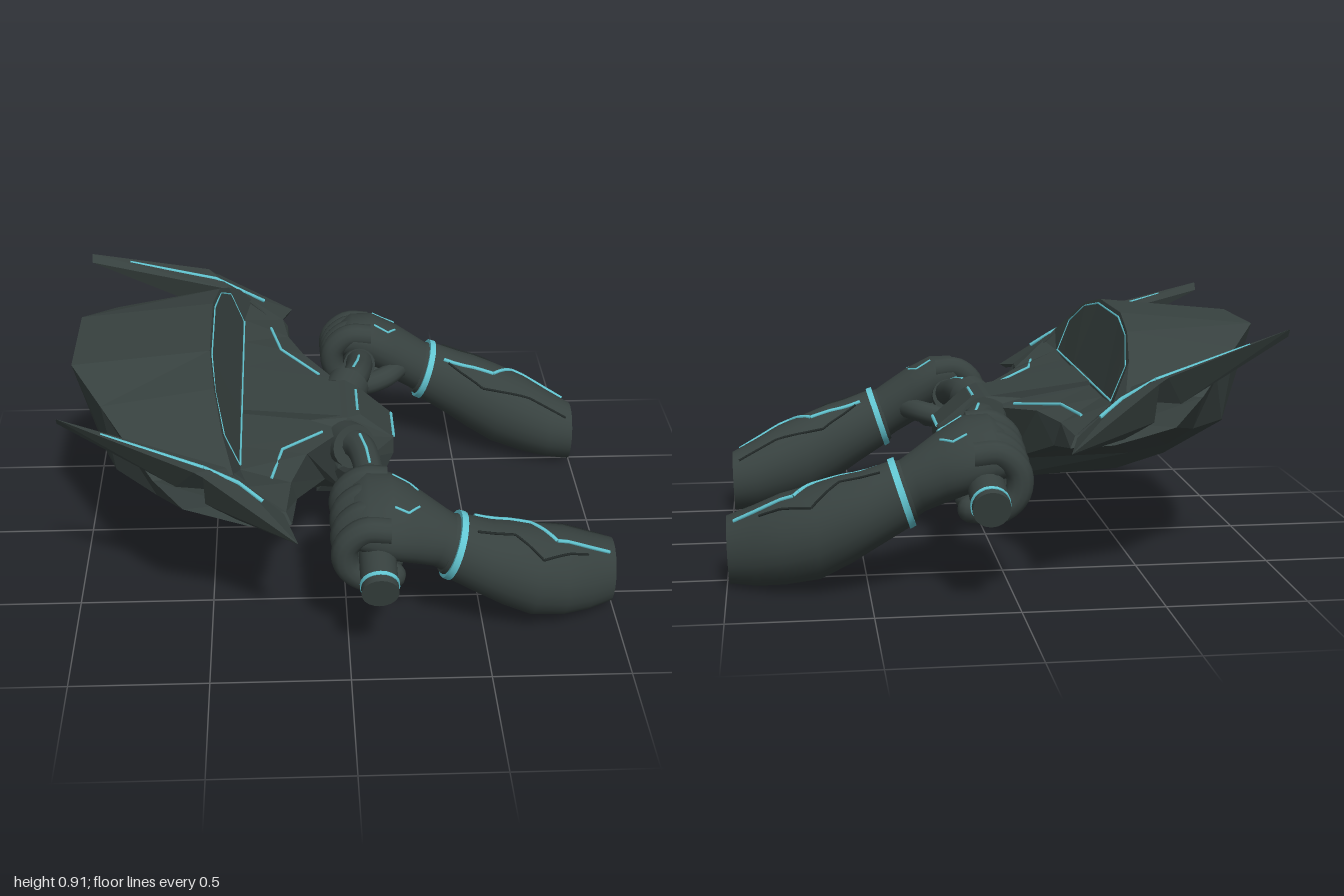
import * as THREE from 'three';
import { mergeGeometries } from 'three/addons/utils/BufferGeometryUtils.js';
import { ConvexGeometry } from 'three/addons/geometries/ConvexGeometry.js';

const V = (p) => new THREE.Vector3(...p);
const mirrorZ = (p) => [p[0], p[1], -p[2]];

// Skin a list of closed rings and cap both ends
function skin(rings, flat) {
  const pos = [], idx = [], n = rings[0].length;
  rings.forEach((r) => r.forEach((p) => pos.push(...p)));
  for (let i = 0; i < rings.length - 1; i++) {
    for (let j = 0; j < n; j++) {
      const k = (j + 1) % n, a = i * n + j, b = i * n + k;
      idx.push(a, a + n, b, b, a + n, b + n);
    }
  }
  [rings[0], rings[rings.length - 1]].forEach((ring, end) => {
    const base = pos.length / 3;
    const c = [0, 1, 2].map((k) => ring.reduce((s, p) => s + p[k], 0) / n);
    pos.push(...c);
    ring.forEach((p) => pos.push(...p));
    for (let j = 0; j < n; j++) {
      const a = base + 1 + j, b = base + 1 + ((j + 1) % n);
      idx.push(base, end ? b : a, end ? a : b);
    }
  });
  let g = new THREE.BufferGeometry();
  g.setAttribute('position', new THREE.Float32BufferAttribute(pos, 3));
  g.setIndex(idx);
  if (flat) g = g.toNonIndexed();
  g.computeVertexNormals();
  return g;
}

// Limb section: [x, y, z, radiusY, radiusZ, tilt, roll]
function ellipseRing([x, y, z, ry, rz, tilt, roll], n = 24) {
  return Array.from({ length: n }, (_, j) => {
    const a = (j / n) * Math.PI * 2;
    const dy = Math.cos(a) * ry, dz = -Math.sin(a) * rz;
    return [x + tilt * dy, y + dy - roll * dz, z + dz];
  });
}
const limb = (sections) => skin(sections.map((s) => ellipseRing(s)), false);

// Point on the upper surface of a limb above (x, z)
function onTop(sections, x, z) {
  let y = 0, dy = 0;
  for (let it = 0; it < 6; it++) {
    const px = x - dy;
    let i = 0;
    while (i < sections.length - 2 && sections[i + 1][0] < px) i++;
    const a = sections[i], b = sections[i + 1];
    const t = THREE.MathUtils.clamp((px - a[0]) / (b[0] - a[0]), 0, 1);
    const s = a.map((v, k) => v + (b[k] - v) * t);
    const u = THREE.MathUtils.clamp((z - s[2]) / s[4], -0.98, 0.98);
    const h = s[3] * Math.sqrt(1 - u * u);
    dy = s[5] * h;
    y = s[1] + h - s[6] * (z - s[2]);
  }
  return [x, y, z];
}

function rod(a, b, r, sides = 20) {
  const A = V(a), B = V(b), d = B.clone().sub(A);
  const g = new THREE.CylinderGeometry(r, r, d.length(), sides);
  g.applyQuaternion(new THREE.Quaternion().setFromUnitVectors(new THREE.Vector3(0, 1, 0), d.normalize()));
  const m = A.add(B).multiplyScalar(0.5);
  return g.translate(m.x, m.y, m.z);
}
const line = (pts, r = 0.006) => mergeGeometries(pts.slice(1).map((p, i) => rod(pts[i], p, r, 6)));
const tube = (pts, r) => new THREE.TubeGeometry(new THREE.CatmullRomCurve3(pts.map(V)), 24, r, 12);
const hull = (pts) => new ConvexGeometry(pts.map(V));
const both = (pts) => [...pts, ...pts.map(mirrorZ)];

// Bake a mirrored copy with corrected corner order
function mirrored(geo) {
  const g = geo.index ? geo.toNonIndexed() : geo.clone();
  for (const name of ['position', 'normal']) {
    const at = g.attributes[name];
    for (let i = 0; i < at.count; i += 3) {
      const t = [0, 1, 2].map((k) => [at.getX(i + k), at.getY(i + k), -at.getZ(i + k)]);
      [0, 2, 1].forEach((s, k) => at.setXYZ(i + k, ...t[s]));
    }
  }
  return g;
}

export function createModel() {
  const model = new THREE.Group();
  const shell = new THREE.MeshStandardMaterial({ color: 0x37413f });
  shell.name = 'dark shell';
  const glow = new THREE.MeshStandardMaterial({ color: 0x62c6d2 });
  glow.name = 'cyan light';
  const seam = new THREE.MeshStandardMaterial({ color: 0x222928 });
  seam.name = 'dark seam';

  const add = (name, geo, mat = shell) => {
    const m = new THREE.Mesh(geo, mat);
    m.name = name;
    model.add(m);
  };
  const pair = (name, geo, mat = shell) => {
    add(name + 'Left', geo, mat);
    add(name + 'Right', mirrored(geo), mat);
  };

  // Fairing rings: nose top, hood rear, screen base, deck rear, belly rear, belly, belly front, nose bottom
  const half = [
    [[-1, .86, .2], [-.49, .91, .2], [-.38, .63, .2], [-.02, .56, .22], [0, .26, .13], [-.5, .29, .13], [-.68, .35, .15], [-.9, .48, .18]],
    [[-.88, .8, .41], [-.47, .87, .42], [-.38, .63, .42], [-.14, .58, .4], [-.07, .36, .22], [-.5, .4, .35], [-.65, .42, .32], [-.84, .53, .4]],
    [[-.76, .73, .61], [-.44, .79, .6], [-.38, .64, .6], [-.2, .57, .58], [-.18, .48, .55], [-.4, .5, .6], [-.55, .51, .58], [-.68, .54, .6]],
    [[-.68, .68, .73], [-.4, .71, .75], [-.35, .66, .75], [-.22, .56, .76], [-.2, .52, .78], [-.35, .53, .8], [-.45, .55, .78], [-.58, .58, .76]],
  ];
  add('fairing', skin([...half.map((r) => r.map(mirrorZ)).reverse(), ...half], true));

  // Swept side blades
  pair('bladeFront', hull([[-1, .91, .69], [-1, .88, .67], [-.53, .77, .83], [-.42, .69, .82],
    [-.42, .72, .72], [-.6, .66, .74]]));
  pair('bladeRear', hull([[-.5, .75, .83], [-.42, .72, .72], [-.18, .53, .92], [-.2, .52, .88],
    [-.24, .56, .72], [-.4, .55, .78], [-.5, .6, .76]]));

  // Steering column and console
  add('columnBridge', hull(both([[-.4, .65, .18], [-.4, .5, .18], [.02, .585, .13], [.02, .4, .13]])));
  add('console', hull(both([[-.12, .58, .15], [.02, .59, .15], [.07, .58, .11], [.2, .47, .1], [.2, .4, .1],
    [.13, .24, .12], [-.1, .25, .13], [-.02, .4, .21], [-.02, .54, .2], [.1, .42, .17]])));

  // Handlebar
  pair('handlebar', tube([[0, .51, .18], [.06, .53, .27], [.09, .5, .43], [.095, .46, .6]], 0.055));
  pair('barCollar', rod([.01, .5, .18], [.04, .52, .25], 0.085));
  pair('grip', rod([.095, .475, .5], [.1, .36, .98], 0.066));
  pair('gripLight', rod([.1, .37, .935], [.1, .366, .95], 0.07), glow);

  // Hand and forearm
  const hand = [
    [.02, .5, .69, .07, .15, 0, .22],
    [.07, .51, .69, .1, .17, 0, .22],
    [.15, .49, .69, .12, .172, .05, .2],
    [.24, .445, .685, .115, .145, .15, .12],
    [.33, .39, .68, .1, .11, .3, 0],
    [.38, .355, .68, .1, .105, .3, 0],
  ];
  const forearm = [
    [.355, .365, .68, .105, .108, .3, 0],
    [.4, .345, .68, .118, .118, .3, 0],
    [.5, .295, .67, .135, .138, .2, 0],
    [.58, .258, .655, .155, .155, .12, 0],
    [.68, .212, .633, .168, .17, .06, 0],
    [.8, .178, .595, .161, .175, .04, 0],
    [.9, .147, .558, .143, .15, .03, 0],
    [.995, .126, .523, .122, .115, .03, 0],
  ];
  pair('hand', limb(hand));
  pair('forearm', limb(forearm));
  pair('wristBand', limb([[.37, .36, .68, .121, .124, .32, 0], [.392, .35, .68, .123, .126, .32, 0]]), glow);

  // Fingers curl round the grip
  for (let f = 0; f < 4; f++) {
    const z = 0.57 + f * 0.083, cy = 0.475 - (z - 0.57) * 0.24;
    const curl = [];
    for (let a = 65; a <= 300; a += 47) {
      const t = (a * Math.PI) / 180;
      curl.push([0.095 + Math.cos(t) * 0.115, cy + Math.sin(t) * 0.105, z]);
    }
    pair('finger' + (f + 1), tube(curl, 0.048));
    const tip = new THREE.SphereGeometry(0.048, 12, 8);
    pair('fingertip' + (f + 1), tip.translate(...curl[curl.length - 1]));
  }
  pair('thumb', tube([[.27, .41, .6], [.2, .4, .52], [.11, .38, .5], [.04, .38, .53]], 0.045));
  pair('thumbTip', new THREE.SphereGeometry(0.045, 12, 8).translate(.04, .38, .53));

  // Arm lights and armour seams
  const trace = (sections, pts, r) => {
    const dense = [];
    pts.slice(1).forEach((b, i) => {
      for (let k = 0; k < 5; k++) {
        const t = k / 5, a = pts[i];
        dense.push(onTop(sections, a[0] + (b[0] - a[0]) * t, a[1] + (b[1] - a[1]) * t));
      }
    });
    dense.push(onTop(sections, ...pts[pts.length - 1]));
    return line(dense, r);
  };
  pair('forearmLight', trace(forearm, [[.46, .61], [.67, .58], [.76, .66], [.97, .59]], 0.008), glow);
  pair('forearmSeamOuter', trace(forearm, [[.46, .73], [.6, .7], [.7, .75], [.88, .65]], 0.005), seam);
  pair('forearmSeamInner', trace(forearm, [[.48, .6], [.62, .52], [.82, .49], [.97, .45]], 0.005), seam);
  pair('handLightInner', trace(hand, [[.16, .6], [.22, .6], [.25, .64]], 0.005), glow);
  pair('handLightOuter', trace(hand, [[.16, .77], [.21, .77], [.25, .73]], 0.005), glow);

  // Fairing lights
  pair('deckLight', line([[-.27, .6, .6], [-.23, .602, .4], [-.08, .574, .23]]), glow);
  pair('bladeLight', line([[-.85, .858, .715], [-.5, .753, .77], [-.38, .688, .77], [-.3, .632, .8]], 0.008), glow);
  pair('screenSideLight', line([[-.383, .645, .575], [-.433, .77, .58], [-.467, .855, .41], [-.483, .893, .2]], 0.004), glow);
  add('screenTopLight', line([[-.483, .893, .2], [-.483, .893, -.2]], 0.004), glow);
  add('screenBaseLight', line([[-.38, .645, .575], [-.38, .645, -.575]], 0.004), glow);
  add('consoleTopLight', line([[.06, .582, .08], [.06, .582, -.08]]), glow);
  add('consoleEdgeLight', line([[.2, .47, .09], [.2, .47, -.09]], 0.007), glow);
  add('consoleRearLight', line([[.2, .4, 0], [.132, .245, 0]], 0.009), glow);
  pair('barLight', line([[.06, .585, .27], [.08, .573, .35], [.09, .552, .43]]), glow);
  return model;
}
